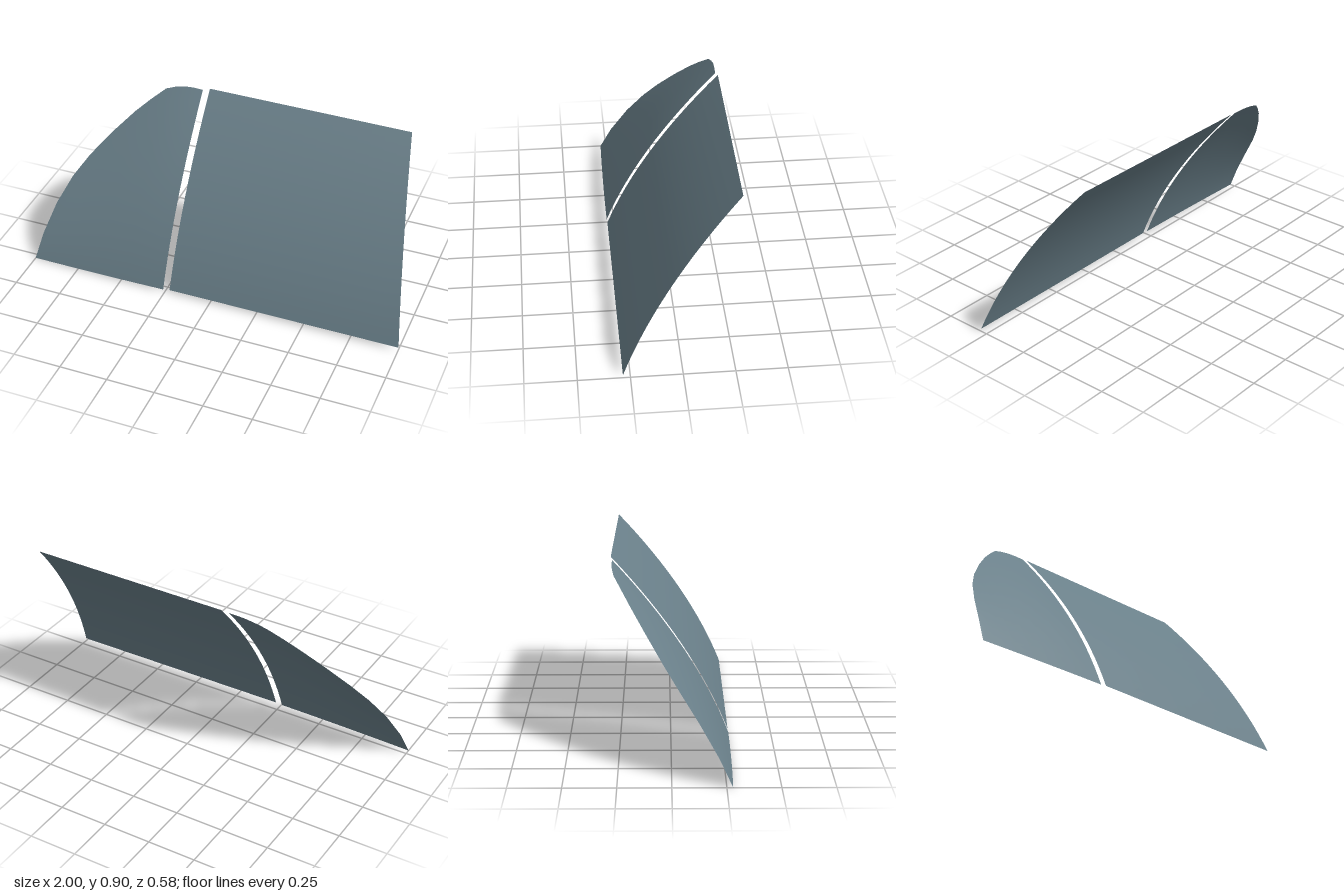
import * as THREE from 'three';

// Curved glass sheet: leans back with height and wraps towards the -x end
function depth(x, y) {
  const base = 0.291 - 0.379 * y - 0.299 * y * y;
  if (x < -0.26) {
    const t = -0.26 - x;
    return base - t * t * (0.022 + 0.08 * y + 0.42 * y * y);
  }
  return base + 0.014 * Math.max(0, x + 0.22) * y * y;
}

// Grid patch; at(u, v) gives the front outline position [x, y]
function pane(name, cols, rows, at, material) {
  const geometry = new THREE.PlaneGeometry(1, 1, cols, rows);
  const pos = geometry.attributes.position;
  for (let i = 0; i < pos.count; i++) {
    const [x, y] = at(pos.getX(i) + 0.5, pos.getY(i) + 0.5);
    pos.setXYZ(i, x, y, depth(x, y));
  }
  geometry.computeVertexNormals();
  const mesh = new THREE.Mesh(geometry, material);
  mesh.name = name;
  return mesh;
}

export function createModel() {
  const group = new THREE.Group();
  group.name = 'windowPanes';
  const glass = new THREE.MeshStandardMaterial({ color: 0x6a808a, side: THREE.DoubleSide });

  // Large pane with a slanted, slightly bowed outer edge
  group.add(pane('largePane', 16, 16, (u, v) => {
    const right = 1 - 0.155 * v - 0.028 * v * (v - 1);
    return [-0.225 + u * (right + 0.225), 0.015 + 0.885 * v];
  }, glass));

  // Small pane whose top follows a rounded outline down to a point
  const top = [
    [-1, 0.003], [-0.975, 0.13], [-0.93, 0.28], [-0.87, 0.41], [-0.8, 0.515], [-0.7, 0.635],
    [-0.6, 0.74], [-0.53, 0.803], [-0.46, 0.86], [-0.41, 0.877], [-0.36, 0.888], [-0.31, 0.891], [-0.26, 0.89],
  ];
  group.add(pane('smallPane', top.length - 1, 16, (u, v) => {
    const [x, y] = top[Math.round(u * (top.length - 1))];
    const bottom = 0.01 * (x + 1) / 0.74;
    return [x, bottom + (y - bottom) * v];
  }, glass));

  return group;
}
